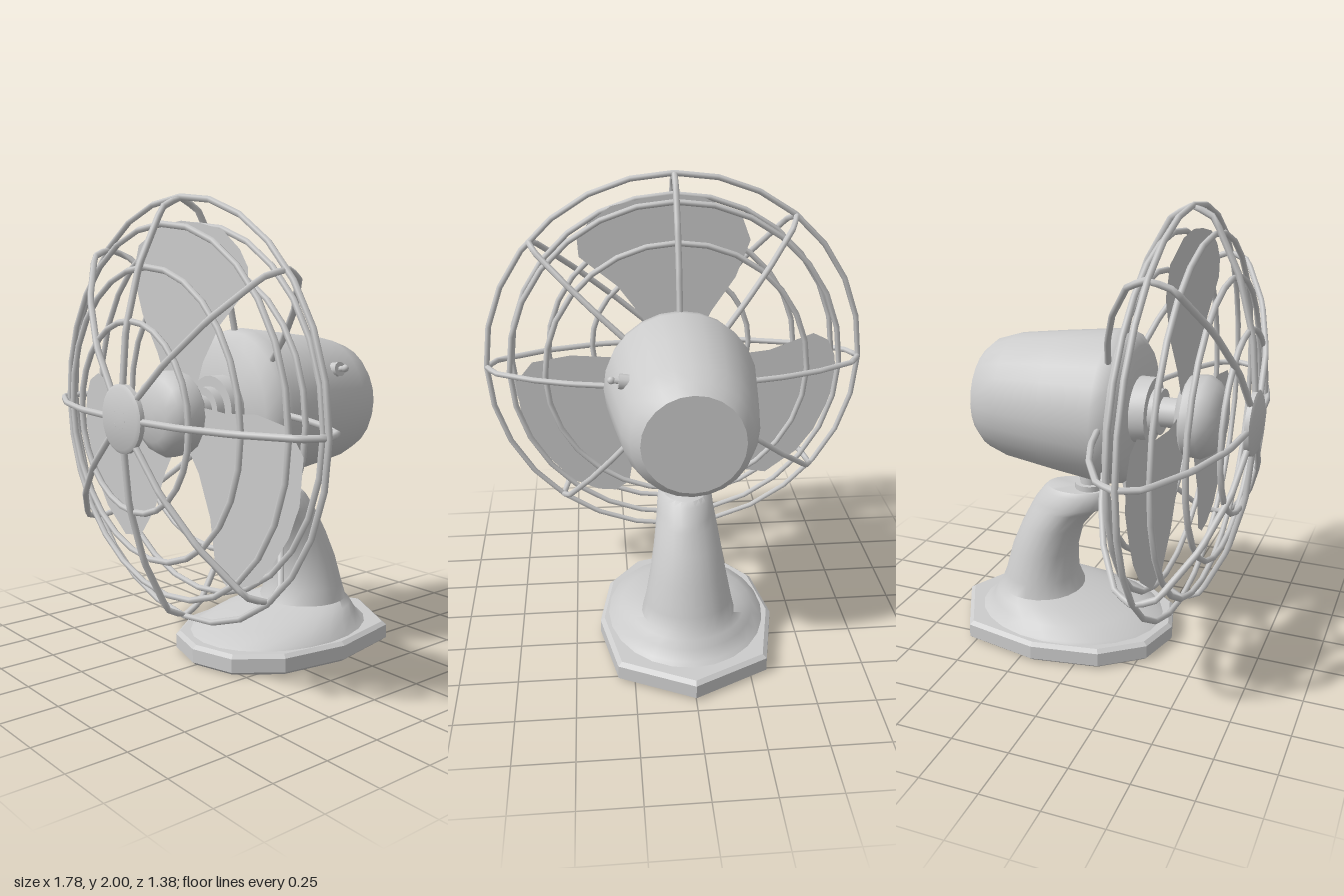
import * as THREE from 'three';
import { toCreasedNormals } from 'three/addons/utils/BufferGeometryUtils.js';

const AXIS_Y = 1.11; // height of the motor and blade axis

export function createModel() {
  const model = new THREE.Group();
  const grey = new THREE.MeshStandardMaterial({ color: 0xcccccc });
  const thin = new THREE.MeshStandardMaterial({ color: 0xcccccc, side: THREE.DoubleSide });

  function add(name, geometry, parent = model, material = grey) {
    const mesh = new THREE.Mesh(geometry, material);
    mesh.name = name;
    parent.add(mesh);
    return mesh;
  }

  // Solid turned about the z axis, profile given as [radius, z] from back to front
  function turned(profile, sides = 24, crease = 0.6) {
    const g = new THREE.LatheGeometry(profile.map(([r, z]) => new THREE.Vector2(r, z)), sides);
    g.rotateX(Math.PI / 2);
    return toCreasedNormals(g, crease);
  }

  // Stack of oval sections [y, zFront, zBack, halfWidth], capped on top
  function loft(sections, sides = 24) {
    const pos = [], index = [];
    for (const [y, zf, zb, w] of sections) {
      for (let i = 0; i < sides; i++) {
        const a = (i / sides) * Math.PI * 2;
        pos.push(w * Math.sin(a), y, (zf + zb) / 2 + ((zf - zb) / 2) * Math.cos(a));
      }
    }
    for (let s = 0; s < sections.length - 1; s++) {
      for (let i = 0; i < sides; i++) {
        const j = (i + 1) % sides, a = s * sides + i, b = s * sides + j;
        index.push(a, b, b + sides, a, b + sides, a + sides);
      }
    }
    const [y, zf, zb] = sections[sections.length - 1];
    const top = (sections.length - 1) * sides;
    pos.push(0, y, (zf + zb) / 2);
    for (let i = 0; i < sides; i++) index.push(top + i, top + ((i + 1) % sides), top + sides);
    const g = new THREE.BufferGeometry();
    g.setAttribute('position', new THREE.Float32BufferAttribute(pos, 3));
    g.setIndex(index);
    return toCreasedNormals(g, 0.8);
  }

  // Faceted foot plate, half outline as [x, z] from back to front
  const half = [[0, -0.69], [0.32, -0.53], [0.39, -0.19], [0.34, 0.11], [0.2, 0.29], [0, 0.345]];
  const outline = [...half, ...half.slice(1, -1).reverse().map(([x, z]) => [-x, z])];
  const foot = new THREE.ExtrudeGeometry(
    new THREE.Shape(outline.map(([x, z]) => new THREE.Vector2(x, -z))),
    { depth: 0.06, bevelThickness: 0.015, bevelSize: 0.018, bevelOffset: -0.018, bevelSegments: 1 });
  foot.rotateX(-Math.PI / 2).translate(0, 0.015, 0);
  add('footPlate', foot);

  // Column sweeping up and forward out of the foot
  add('column', loft([
    [0.075, 0.31, -0.62, 0.36], [0.1, 0.27, -0.56, 0.345], [0.14, 0.16, -0.53, 0.3],
    [0.175, 0, -0.51, 0.25], [0.195, -0.1, -0.495, 0.205], [0.26, -0.13, -0.47, 0.19],
    [0.39, -0.13, -0.435, 0.165], [0.51, -0.1, -0.385, 0.145], [0.6, -0.03, -0.34, 0.13],
    [0.63, 0.03, -0.325, 0.125], [0.69, 0.035, -0.28, 0.118], [0.71, 0.02, -0.26, 0.1],
  ]));
  add('pivotCollar', new THREE.CylinderGeometry(0.065, 0.065, 0.03, 16)).position.set(0, 0.72, -0.06);
  add('pivotPost', new THREE.CylinderGeometry(0.042, 0.042, 0.12, 16)).position.set(0, 0.78, -0.06);

  // Everything turning about the motor axis
  const head = new THREE.Group();
  head.name = 'head';
  head.position.y = AXIS_Y;
  model.add(head);

  add('motorHousing', turned([
    [0, -0.535], [0.21, -0.535], [0.25, -0.49], [0.28, -0.4], [0.31, -0.18],
    [0.34, 0.07], [0.33, 0.13], [0.28, 0.172], [0, 0.172],
  ], 24, 0.75), head);
  add('shaft', turned([
    [0.145, 0.16], [0.145, 0.24], [0.1, 0.24], [0.1, 0.28], [0.065, 0.28], [0.065, 0.42],
  ]), head);
  add('hub', turned([
    [0, 0.365], [0.14, 0.37], [0.175, 0.4], [0.18, 0.47], [0.155, 0.515], [0.11, 0.545], [0, 0.55],
  ], 16, 0.75), head);

  // Three flat blades
  const bladeShape = new THREE.Shape([
    [0.1, 0.1], [0.15, 0.22], [0.26, 0.37], [0.43, 0.51], [0.435, 0.59], [0.385, 0.66], [0.28, 0.735],
    [0.14, 0.765], [0.01, 0.78], [-0.13, 0.765], [-0.3, 0.69], [-0.345, 0.57], [-0.28, 0.4],
    [-0.17, 0.24], [-0.1, 0.1],
  ].map(([x, y]) => new THREE.Vector2(x, y)));
  const bladeGeometry = new THREE.ShapeGeometry(bladeShape);
  for (let i = 0; i < 3; i++) {
    const blade = add('blade', bladeGeometry, head, thin);
    blade.position.z = 0.39;
    blade.rotation.z = (i * Math.PI * 2) / 3;
  }

  // Guard rings as [radius, z]
  const guard = new THREE.Group();
  guard.name = 'guard';
  head.add(guard);
  const rings = [[0.6, 0.245], [0.765, 0.31], [0.875, 0.387], [0.765, 0.478], [0.595, 0.558], [0.385, 0.635]];
  for (const [r, z] of rings) {
    add('guardRing', new THREE.TorusGeometry(r, 0.013, 6, 28), guard).position.z = z;
  }

  // Guard spokes from the front badge around the rim to the housing
  const spokePath = new THREE.CurvePath();
  const spokePoints = [[0.04, 0.682], [0.35, 0.655], [0.6, 0.588], [0.83, 0.475], [0.875, 0.387],
    [0.83, 0.3], [0.65, 0.2], [0.48, 0.14], [0.32, 0.105]].map(([r, z]) => new THREE.Vector3(r, 0, z));
  for (let i = 1; i < spokePoints.length; i++) {
    spokePath.add(new THREE.LineCurve3(spokePoints[i - 1], spokePoints[i]));
  }
  const spokeGeometry = new THREE.TubeGeometry(spokePath, 32, 0.014, 6);
  for (const degrees of [0, 42, 90, 129, 180, 220, 270, 309]) {
    add('guardSpoke', spokeGeometry, guard).rotation.z = THREE.MathUtils.degToRad(degrees);
  }
  add('frontBadge', turned([[0, 0.665], [0.14, 0.665], [0.14, 0.685], [0.125, 0.694], [0, 0.694]]), guard);

  // Toggle switch on the left side of the housing
  const toggle = new THREE.Group();
  toggle.name = 'toggleSwitch';
  toggle.position.set(0.25, 0.16, -0.25);
  toggle.rotation.z = -Math.PI / 2 + 0.15;
  head.add(toggle);
  add('switchCollar', new THREE.CylinderGeometry(0.032, 0.032, 0.04, 10), toggle).position.y = 0.01;
  add('switchStem', new THREE.CylinderGeometry(0.012, 0.012, 0.06, 8), toggle).position.y = 0.03;
  add('switchTip', new THREE.SphereGeometry(0.017, 8, 6), toggle).position.y = 0.06;

  return model;
}
